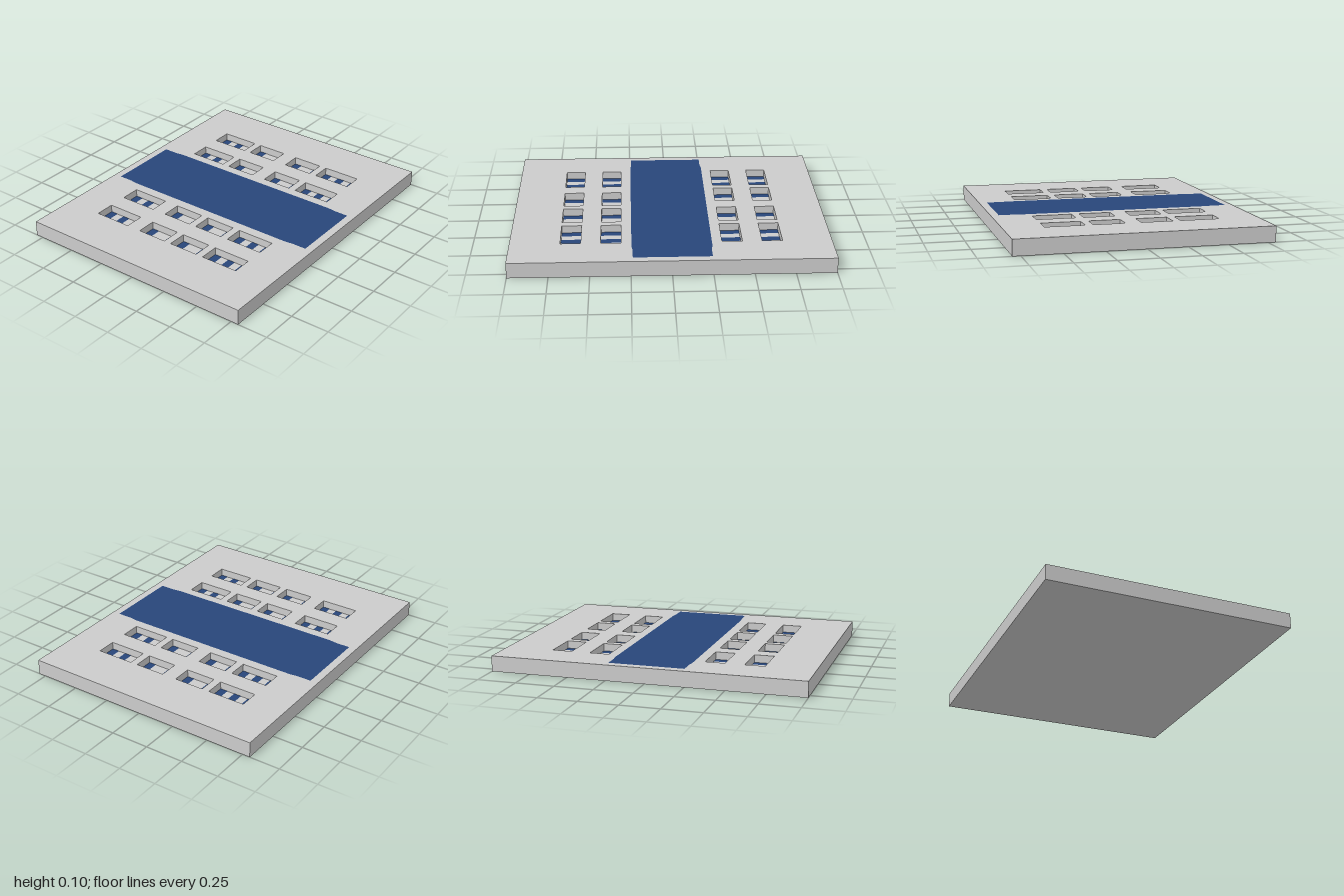
import * as THREE from 'three';

const DEPTH = 0.05; // depth of the recesses
const HEIGHT = 0.1;

const grey = new THREE.MeshStandardMaterial({ color: 0xcccccc });
const blue = new THREE.MeshStandardMaterial({ color: 0x28467a });

// Recess rows: centre z and the left edge of the second, shifted recess
const ROWS = [[-0.628, -0.25], [-0.378, -0.25], [0.373, -0.2], [0.623, -0.2]];
const RECESS_LENGTH = 0.127;

// Recesses as { x, width, z, strips }
function recessList() {
  return ROWS.flatMap(([z, shifted]) => [
    { x: -0.55, width: 0.25, z, strips: 3 },
    { x: shifted, width: 0.2, z, strips: 2 },
    { x: 0.05, width: 0.2, z, strips: 2 },
    { x: 0.3, width: 0.25, z, strips: 3 },
  ]);
}

function rectangle(Type, x0, x1, y0, y1) {
  return new Type([[x0, y0], [x1, y0], [x1, y1], [x0, y1]].map(p => new THREE.Vector2(...p)));
}

function add(group, name, geometry, material) {
  const mesh = new THREE.Mesh(geometry, material);
  mesh.name = name;
  group.add(mesh);
  return mesh;
}

export function createModel() {
  const model = new THREE.Group();
  model.name = 'panelBoard';
  const recesses = recessList();
  const floorY = HEIGHT - DEPTH;

  // Solid lower half, whose top forms the recess floors
  add(model, 'base', new THREE.BoxGeometry(1.6, floorY, 2), grey).position.y = floorY / 2;

  // Upper half, pierced by the recesses (shape y becomes -z)
  const plate = rectangle(THREE.Shape, -0.8, 0.8, -1, 1);
  for (const { x, width, z } of recesses) {
    const half = RECESS_LENGTH / 2;
    plate.holes.push(rectangle(THREE.Path, x, x + width, -z - half, -z + half));
  }
  const plateGeometry = new THREE.ExtrudeGeometry(plate, { depth: DEPTH, bevelEnabled: false });
  plateGeometry.rotateX(-Math.PI / 2);
  add(model, 'topPlate', plateGeometry, grey).position.y = floorY;

  // Coloured strips on the recess floors, starting and ending at the side walls
  const stripGeometry = new THREE.PlaneGeometry(0.05, RECESS_LENGTH).rotateX(-Math.PI / 2);
  const strips = new THREE.Group();
  strips.name = 'recessStrips';
  for (const { x, width, z, strips: count } of recesses) {
    for (let i = 0; i < count; i++) {
      const stripX = x + 0.025 + (i * (width - 0.05)) / (count - 1);
      add(strips, 'recessStrip', stripGeometry, blue).position.set(stripX, floorY + 0.001, z);
    }
  }
  model.add(strips);

  // Flat central band with slightly narrower ends
  const edge = [[-0.75, 0.242], [-0.655, 0.242], [-0.605, 0.249], [0.605, 0.249], [0.655, 0.242], [0.75, 0.242]];
  const outline = [...edge, ...edge.map(([x, z]) => [-x, -z])].map(p => new THREE.Vector2(...p));
  const bandGeometry = new THREE.ShapeGeometry(new THREE.Shape(outline)).rotateX(-Math.PI / 2);
  add(model, 'centreBand', bandGeometry, blue).position.set(0, HEIGHT + 0.001, -0.003);

  return model;
}
